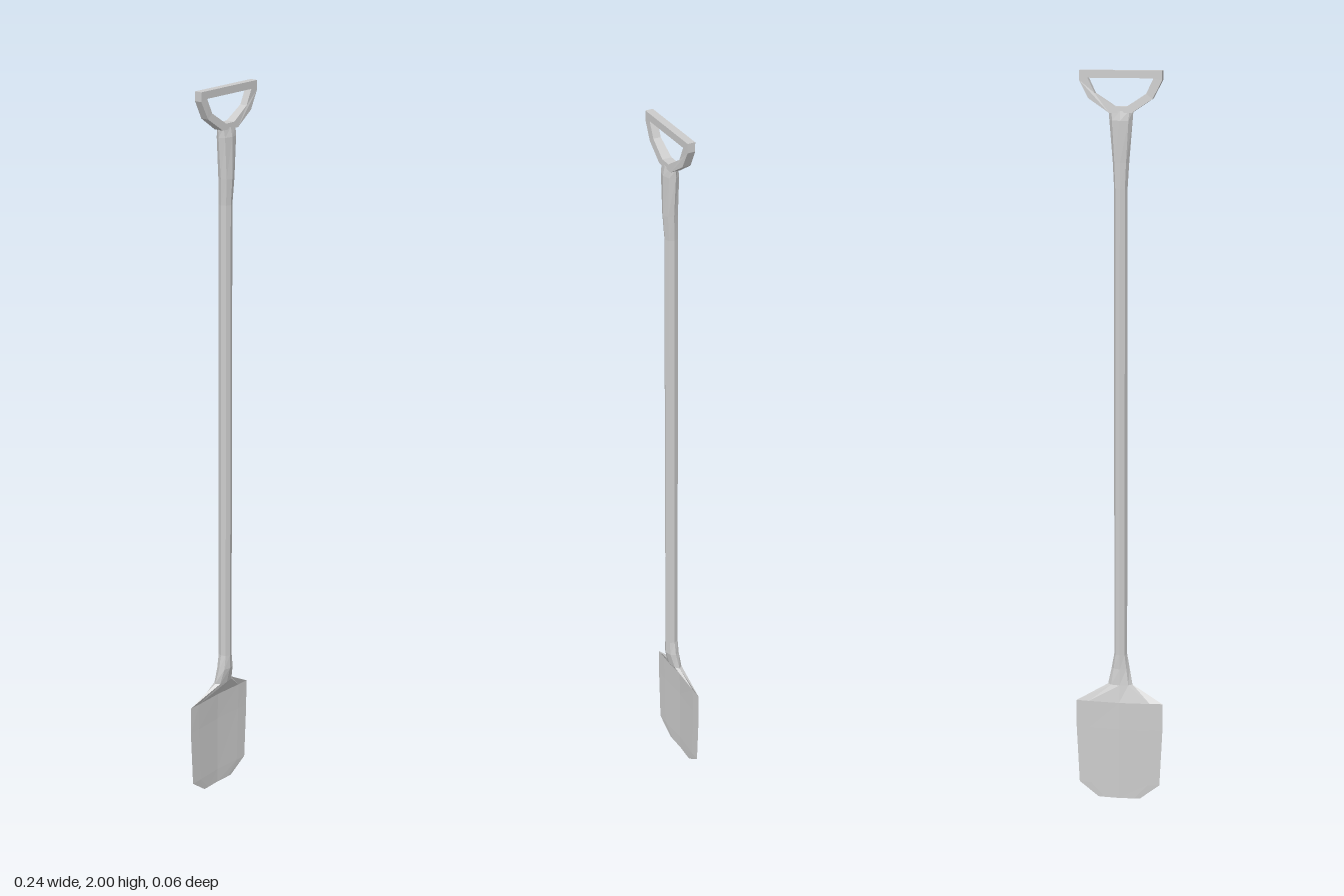
import * as THREE from 'three';

const SIDES = 8;
const material = new THREE.MeshStandardMaterial({ color: 0xcccccc, flatShading: true });

// Skin eight-sided rings [y, halfWidth, halfDepth, centreZ, bow]; bow curls the side edges forward
function loft(name, rings, capBottom, capTop) {
  const positions = [];
  const index = [];
  for (const [y, w, d, z, bow = 0] of rings) {
    for (let i = 0; i < SIDES; i++) {
      const a = (i / SIDES) * Math.PI * 2;
      positions.push(w * Math.sin(a), y, z + d * Math.cos(a) + bow * Math.abs(Math.sin(a)));
    }
  }
  for (let r = 0; r < rings.length - 1; r++) {
    for (let i = 0; i < SIDES; i++) {
      const j = (i + 1) % SIDES;
      const a = r * SIDES + i, b = r * SIDES + j;
      index.push(a, b, b + SIDES, a, b + SIDES, a + SIDES);
    }
  }
  const addCap = (r, top) => {
    const centre = positions.length / 3;
    positions.push(0, rings[r][0], rings[r][3]);
    for (let i = 0; i < SIDES; i++) {
      const a = r * SIDES + i, b = r * SIDES + ((i + 1) % SIDES);
      if (top) index.push(centre, a, b);
      else index.push(centre, b, a);
    }
  };
  if (capBottom) addCap(0, false);
  if (capTop) addCap(rings.length - 1, true);

  const indexed = new THREE.BufferGeometry();
  indexed.setAttribute('position', new THREE.Float32BufferAttribute(positions, 3));
  indexed.setIndex(index);
  const geometry = indexed.toNonIndexed();
  geometry.computeVertexNormals();
  const mesh = new THREE.Mesh(geometry, material);
  mesh.name = name;
  return mesh;
}

// Full outline from the points of its right half
function mirrored(half) {
  const points = half.map(([x, y]) => new THREE.Vector2(x, y));
  const others = half.map(([x, y]) => new THREE.Vector2(-x, y)).reverse();
  return [...points, ...others];
}

export function createModel() {
  const group = new THREE.Group();
  group.name = 'shovel';

  // Shared joints between the lofted parts
  const neck = [0.325, 0.034, 0.015, -0.006];
  const shaftBottom = [0.41, 0.018, 0.018, 0.002];
  const shaftTop = [1.69, 0.018, 0.018, 0.003];

  // Thin, slightly dished blade with sloping shoulders
  group.add(loft('blade', [
    [0, 0.058, 0.0015, -0.0285, 0.003],
    [0.04, 0.112, 0.002, -0.028, 0.007],
    [0.2, 0.12, 0.002, -0.028, 0.007],
    [0.277, 0.12, 0.0025, -0.0265, 0.006],
    neck,
  ], true, false));

  // Socket tapering up to the shaft
  group.add(loft('socket', [neck, [0.37, 0.025, 0.0185, 0.0015], shaftBottom], false, false));

  group.add(loft('shaft', [shaftBottom, shaftTop], false, false));

  // Flared collar carrying the grip
  group.add(loft('collar', [
    shaftTop,
    [1.76, 0.022, 0.02, 0.006],
    [1.87, 0.031, 0.02, 0.006],
    [1.895, 0.033, 0.015, 0.006],
  ], false, true));

  // D-shaped handle, thicker towards the collar
  const outline = new THREE.Shape(mirrored([
    [0.03, 1.89], [0.085, 1.927], [0.11, 1.975], [0.11, 2],
  ]));
  outline.holes.push(new THREE.Path(mirrored([
    [0.016, 1.906], [0.068, 1.94], [0.087, 1.98],
  ])));
  const depth = 0.021;
  const geometry = new THREE.ExtrudeGeometry(outline, { depth, bevelEnabled: false });
  geometry.translate(0, 0, -depth / 2);
  const p = geometry.attributes.position;
  for (let i = 0; i < p.count; i++) {
    const spread = 1 + 0.35 * Math.max(0, 1 - (p.getY(i) - 1.89) / 0.05);
    p.setZ(i, p.getZ(i) * spread + 0.006);
  }
  geometry.computeVertexNormals();
  const handle = new THREE.Mesh(geometry, material);
  handle.name = 'handle';
  group.add(handle);

  return group;
}
